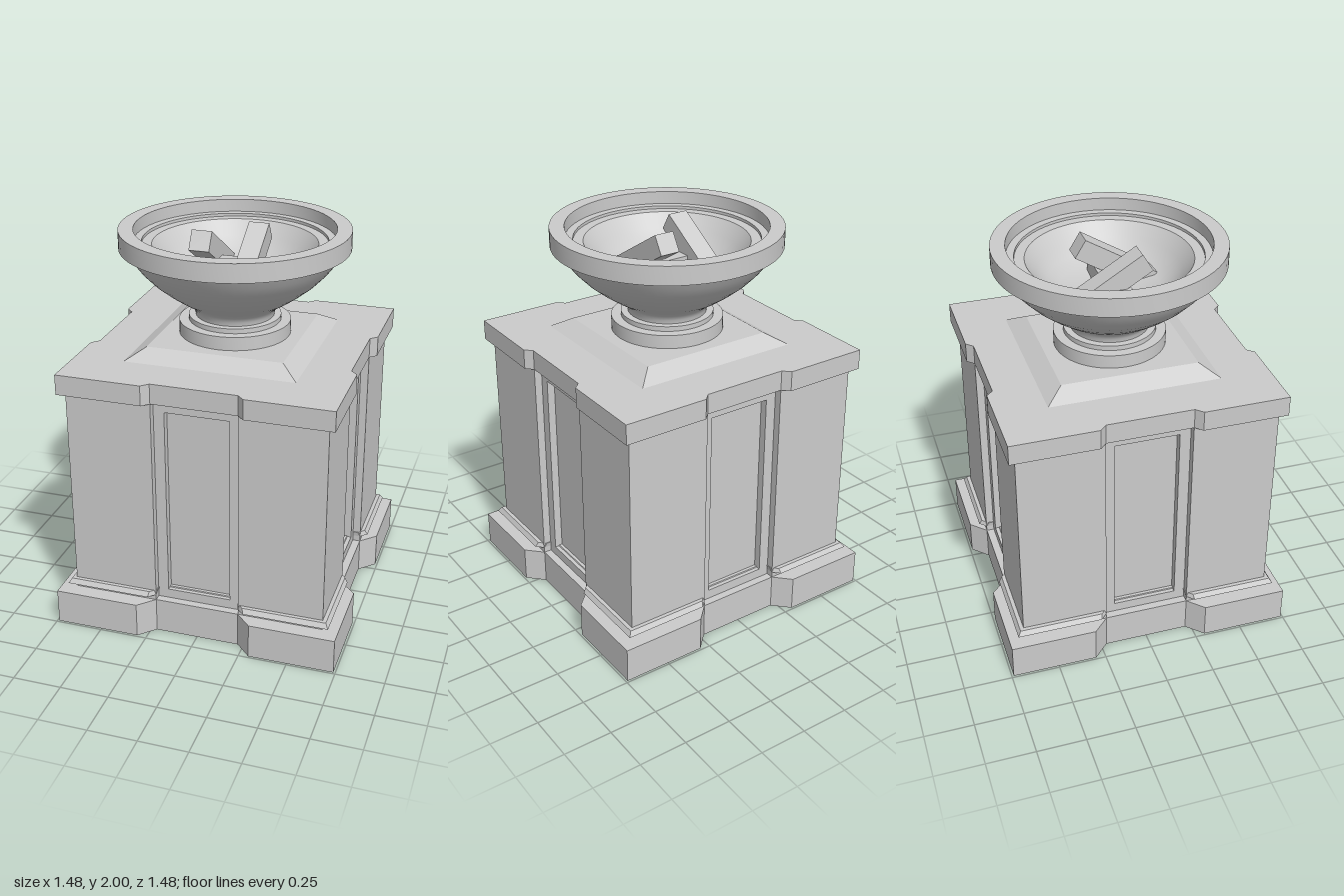
import * as THREE from 'three';
import { toCreasedNormals } from 'three/addons/utils/BufferGeometryUtils.js';

const stone = new THREE.MeshStandardMaterial({ color: 0xcccccc });

function add(parent, name, geometry, x = 0, y = 0, z = 0) {
  const mesh = new THREE.Mesh(geometry, stone);
  mesh.name = name;
  mesh.position.set(x, y, z);
  parent.add(mesh);
  return mesh;
}

// Square plan with a chamfered notch in the middle of each side
function notchedPlan(half, notch, floor = notch) {
  const c = 0.22, out = c + half - notch;
  const side = [[-out, half], [-c, notch], [-c, floor], [c, floor], [c, notch], [out, half], [half, half]];
  const points = [];
  for (let i = 0; i < 4; i++) {
    const a = -i * Math.PI / 2, cos = Math.cos(a), sin = Math.sin(a);
    side.forEach(([x, y], k) => {
      if (floor === notch && (k === 2 || k === 3)) return;
      points.push(new THREE.Vector2(x * cos - y * sin, x * sin + y * cos));
    });
  }
  return new THREE.Shape(points);
}

// Upright slab from a plan; the top can be drawn in by a scale
function slab(shape, height, topScale = 1) {
  const g = new THREE.ExtrudeGeometry(shape, { depth: height, bevelEnabled: false });
  g.rotateX(-Math.PI / 2);
  const p = g.attributes.position;
  for (let i = 0; i < p.count; i++) {
    if (p.getY(i) > height / 2) p.setXYZ(i, p.getX(i) * topScale, p.getY(i), p.getZ(i) * topScale);
  }
  g.computeVertexNormals();
  return g;
}

function rect(x0, y0, x1, y1) {
  return [[x0, y0], [x1, y0], [x1, y1], [x0, y1]].map(([x, y]) => new THREE.Vector2(x, y));
}

export function createModel() {
  const model = new THREE.Group();
  model.name = 'pedestalWithBowl';

  // Plinth, moulding and cap
  add(model, 'plinth', slab(notchedPlan(0.74, 0.66), 0.185));
  add(model, 'baseMoulding', slab(notchedPlan(0.695, 0.66, 0.61), 0.025, 0.978), 0, 0.215, 0);
  add(model, 'cap', slab(notchedPlan(0.695, 0.66), 0.105), 0, 1.295, 0);
  add(model, 'capSlope', slab(new THREE.Shape(rect(-0.44, -0.44, 0.44, 0.44)), 0.055, 0.35 / 0.44), 0, 1.4, 0);

  // Body: core, corner piers and framed panels
  const bottom = 0.185, height = 1.11, mid = bottom + height / 2;
  add(model, 'bodyCore', new THREE.BoxGeometry(1.16, height, 1.16), 0, mid, 0);
  for (const sx of [-1, 1]) for (const sz of [-1, 1]) {
    add(model, 'cornerPier', new THREE.BoxGeometry(0.44, height, 0.44), sx * 0.44, mid, sz * 0.44);
  }
  const frame = new THREE.Shape(rect(-0.22, bottom, 0.22, bottom + height));
  frame.holes.push(new THREE.Path(rect(-0.165, 0.235, 0.165, 1.24).reverse()));
  const frameGeometry = new THREE.ExtrudeGeometry(frame, { depth: 0.04, bevelEnabled: false });
  frameGeometry.translate(0, 0, 0.58);
  for (let i = 0; i < 4; i++) {
    add(model, 'panelFrame', frameGeometry).rotation.y = i * Math.PI / 2;
  }

  // Foot, bowl, rim and hollow, turned as one profile
  const profile = [
    [0, 1.455], [0.285, 1.455], [0.285, 1.525], [0.235, 1.525], [0.235, 1.55], [0.2, 1.55],
    [0.203, 1.57], [0.217, 1.595], [0.25, 1.621], [0.3, 1.652], [0.36, 1.695], [0.42, 1.744],
    [0.477, 1.803], [0.515, 1.853], [0.545, 1.905], [0.58, 1.905], [0.58, 2], [0.505, 2],
    [0.505, 1.935], [0.465, 1.935], [0.465, 1.92], [0.415, 1.92], [0.36, 1.85],
    [0.31, 1.795], [0.25, 1.76], [0.13, 1.738], [0, 1.73],
  ].map(([r, y]) => new THREE.Vector2(r, y));
  add(model, 'bowl', toCreasedNormals(new THREE.LatheGeometry(profile, 64), 0.65));

  // Crossbar and two leaning bars inside the bowl
  add(model, 'crossbar', new THREE.BoxGeometry(0.42, 0.11, 0.11), 0, 1.775, 0);
  const tilt = 0.55, length = 0.434, thick = 0.105;
  for (const side of [-1, 1]) {
    const bar = new THREE.Group();
    bar.name = 'leaningBar';
    // Pivot on the upper edge of the raised end
    bar.position.set(side < 0 ? -0.137 : 0.092, 2, -side * 0.108);
    bar.rotation.x = side * tilt;
    add(bar, 'bar', new THREE.BoxGeometry(thick, thick, length), 0, -thick / 2, side * length / 2);
    model.add(bar);
  }
  return model;
}
